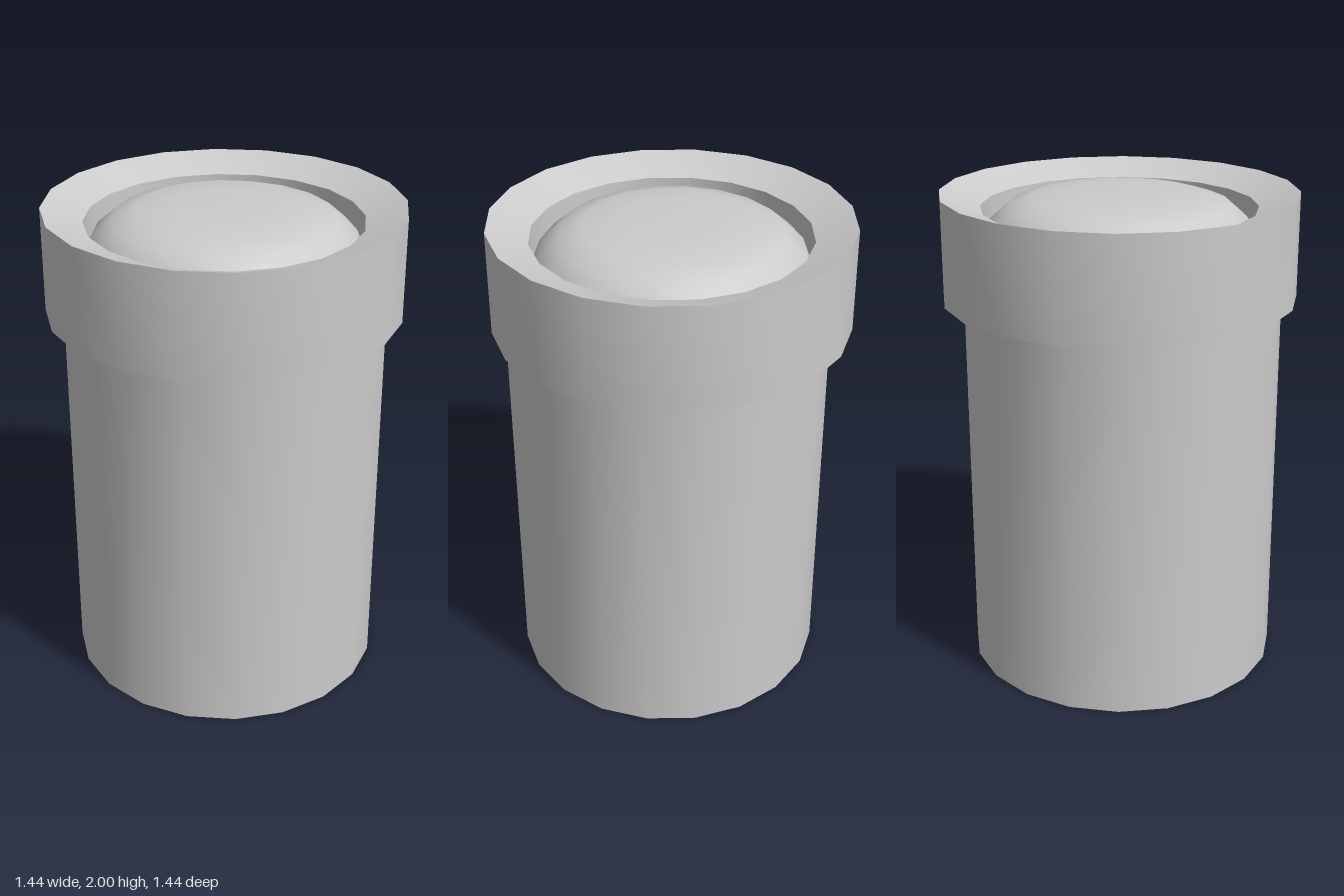
import * as THREE from 'three';
import { toCreasedNormals } from 'three/addons/utils/BufferGeometryUtils.js';

const SIDES = 20;

export function createModel() {
  const group = new THREE.Group();
  const material = new THREE.MeshStandardMaterial({ color: 0xcccccc });

  const add = (name, geometry) => {
    const mesh = new THREE.Mesh(geometry, material);
    mesh.name = name;
    group.add(mesh);
    return mesh;
  };
  const lathe = (points) =>
    new THREE.LatheGeometry(points.map(([r, y]) => new THREE.Vector2(r, y)), SIDES);

  // Main barrel, set very slightly off the collar's axis
  const barrel = add('barrel', toCreasedNormals(
    new THREE.CylinderGeometry(0.648, 0.648, 1.7, SIDES), 0.6));
  barrel.position.set(-0.007, 0.85, 0.015);

  // Wide collar: underside, outer wall, inward-sloping rim and bore
  add('collar', toCreasedNormals(lathe([
    [0.6, 1.575], [0.718, 1.575], [0.718, 2], [0.555, 1.94], [0.555, 1.7],
  ]), 0.3 + 0.03));

  // Domed lens sitting inside the bore
  add('lens', lathe([
    [0.555, 1.8], [0.525, 1.88], [0.445, 1.95], [0.35, 1.98], [0.2, 1.993], [0, 1.995],
  ]));

  return group;
}
